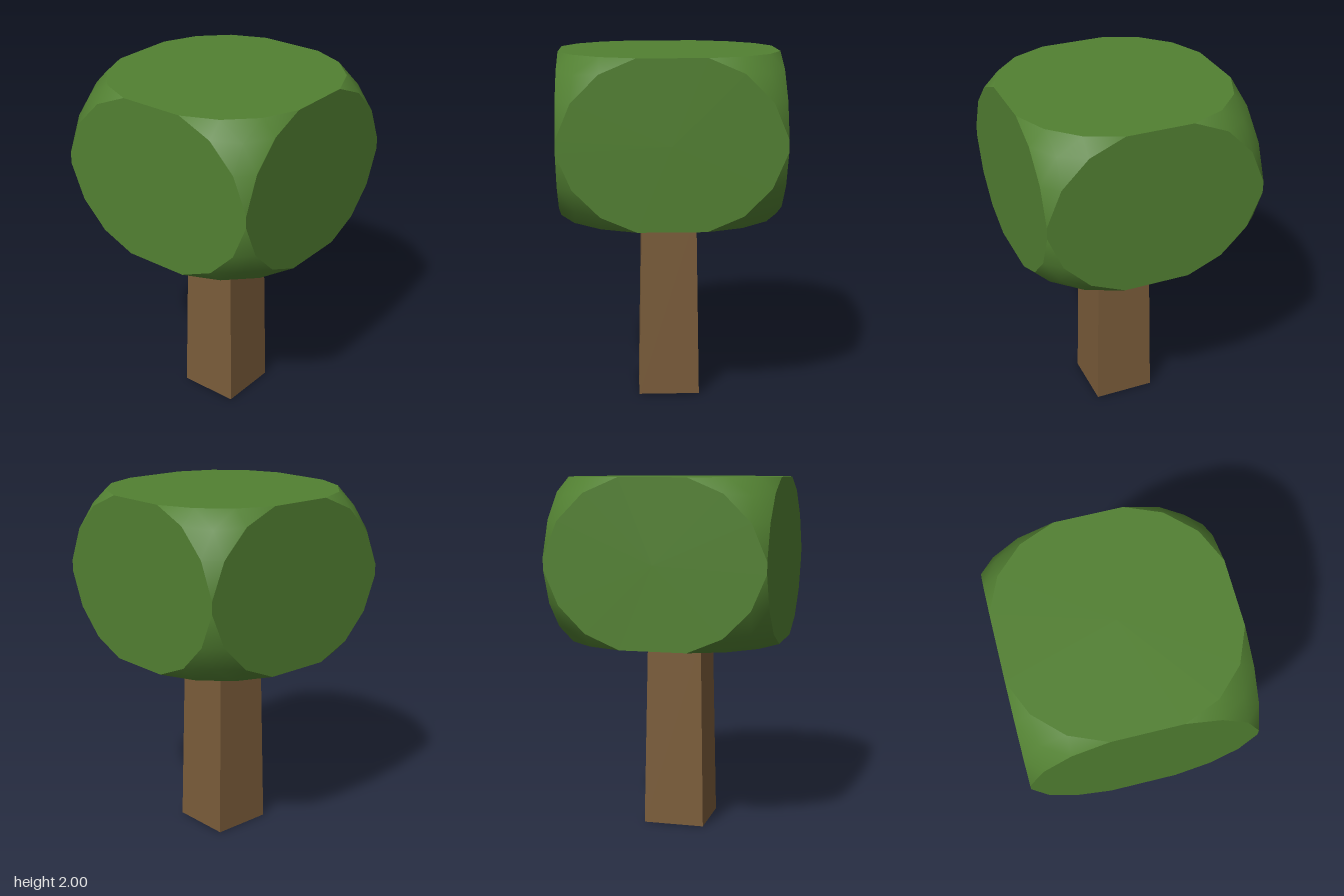
import * as THREE from 'three';

const leafGreen = new THREE.MeshStandardMaterial({ color: 0x528032 });
leafGreen.name = 'leafGreen';
const barkBrown = new THREE.MeshStandardMaterial({ color: 0x7a5c3a });
barkBrown.name = 'barkBrown';

const HALF = [0.607, 0.455, 0.607]; // half sizes of the crown block
const CUT = 0.422;                  // how far each corner is rounded along the edges
const PROFILE = [0, 0.194, 0.543, 1]; // rounding profile, as fractions of CUT

// Block with rounded corners: six flat faces and eight smooth corner patches
function crownGeometry() {
  const positions = [], normals = [];
  const addTriangle = (points, normalAt) => {
    const [a, b, c] = points;
    const n = b.clone().sub(a).cross(c.clone().sub(a));
    const outward = n.dot(a.clone().add(b).add(c)) > 0;
    for (const p of outward ? [a, b, c] : [a, c, b]) {
      positions.push(p.x, p.y, p.z);
      const m = normalAt(p);
      normals.push(m.x, m.y, m.z);
    }
  };

  // Flat faces, each a fan around its middle
  for (let axis = 0; axis < 3; axis++) {
    const u = (axis + 1) % 3, v = (axis + 2) % 3;
    for (const side of [-1, 1]) {
      const centre = new THREE.Vector3().setComponent(axis, side * HALF[axis]);
      const normal = new THREE.Vector3().setComponent(axis, side);
      const ring = [];
      for (const [su, sv] of [[1, 1], [-1, 1], [-1, -1], [1, -1]]) {
        for (let i = 0; i < 4; i++) {
          const k = su * sv > 0 ? i : 3 - i;
          ring.push(centre.clone()
            .setComponent(u, su * (HALF[u] - CUT * PROFILE[k]))
            .setComponent(v, sv * (HALF[v] - CUT * PROFILE[3 - k])));
        }
      }
      ring.forEach((p, i) => addTriangle([centre, p, ring[(i + 1) % ring.length]], () => normal));
    }
  }

  // Corner patches, a triangular grid with ball-like normals
  for (const sx of [-1, 1]) for (const sy of [-1, 1]) for (const sz of [-1, 1]) {
    const signs = [sx, sy, sz];
    const ball = new THREE.Vector3(...signs.map((s, n) => s * (HALF[n] - CUT)));
    const normalAt = p => p.clone().sub(ball).normalize();
    const point = (i, j) => {
      const steps = [i, j, 3 - i - j];
      const middle = steps.every(s => s === 1);
      return new THREE.Vector3(...steps.map((s, n) =>
        signs[n] * (HALF[n] - CUT * (middle ? 0.22 : PROFILE[s]))));
    };
    for (let i = 0; i < 3; i++) for (let j = 0; i + j < 3; j++) {
      addTriangle([point(i, j), point(i + 1, j), point(i, j + 1)], normalAt);
      if (i + j < 2) addTriangle([point(i + 1, j), point(i + 1, j + 1), point(i, j + 1)], normalAt);
    }
  }

  const geometry = new THREE.BufferGeometry();
  geometry.setAttribute('position', new THREE.Float32BufferAttribute(positions, 3));
  geometry.setAttribute('normal', new THREE.Float32BufferAttribute(normals, 3));
  return geometry;
}

// Square trunk, slightly narrower at the top
function trunkGeometry() {
  const height = 1.09;
  const geometry = new THREE.CylinderGeometry(0.155 * Math.SQRT2, 0.175 * Math.SQRT2, height, 4)
    .rotateY(Math.PI / 4)
    .translate(0, height / 2, 0)
    .toNonIndexed();
  geometry.computeVertexNormals();
  return geometry;
}

export function createModel() {
  const tree = new THREE.Group();
  tree.name = 'tree';

  const trunk = new THREE.Mesh(trunkGeometry(), barkBrown);
  trunk.name = 'trunk';

  const crown = new THREE.Mesh(crownGeometry(), leafGreen);
  crown.name = 'crown';
  crown.position.y = 2 - HALF[1];

  tree.add(trunk, crown);
  return tree;
}
